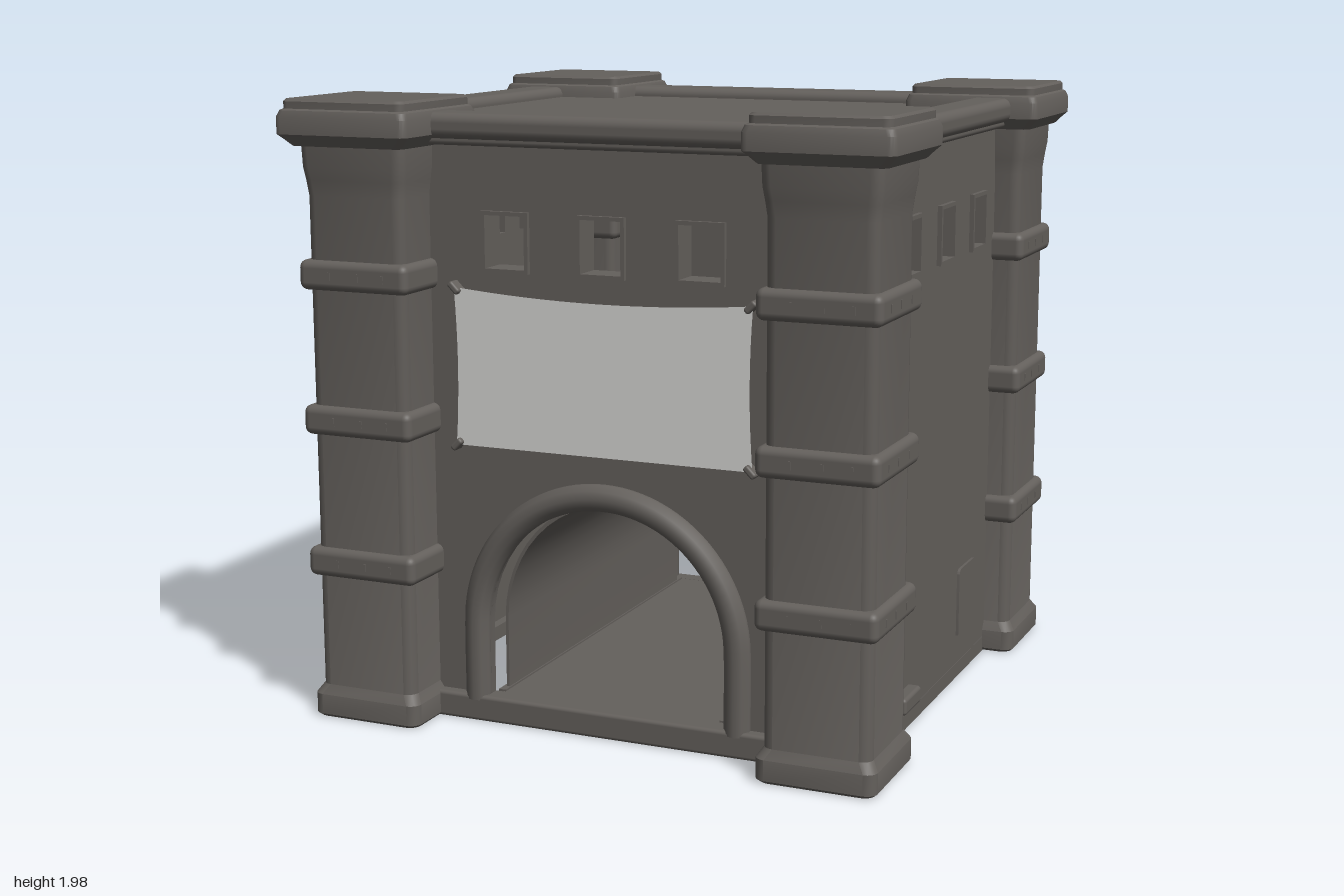
import * as THREE from 'three';
import { toCreasedNormals } from 'three/addons/utils/BufferGeometryUtils.js';
import { RoundedBoxGeometry } from 'three/addons/geometries/RoundedBoxGeometry.js';

const mat = (name, color, extra = {}) => {
  const m = new THREE.MeshStandardMaterial({ color, ...extra });
  m.name = name;
  return m;
};

export function createModel() {
  const stone = mat('stone', 0x64605c);
  const cloth = mat('cloth', 0xd8d8d5, { side: THREE.DoubleSide });

  const add = (parent, name, geo, x = 0, y = 0, z = 0, material = stone) => {
    const m = new THREE.Mesh(geo, material);
    m.name = name;
    m.position.set(x, y, z);
    parent.add(m);
    return m;
  };
  const box = (w, h, d) => new THREE.BoxGeometry(w, h, d);
  const rbox = (w, h, d, r) => new RoundedBoxGeometry(w, h, d, 3, r);

  // Rounded-square column lofted from [half width, height] pairs
  function column(profile, radius) {
    const seg = 4, n = 4 * (seg + 1), pos = [], idx = [];
    for (const [h, y] of profile) {
      const r = Math.min(radius, h);
      for (let c = 0; c < 4; c++) for (let s = 0; s <= seg; s++) {
        const mid = Math.PI / 4 + c * Math.PI / 2;
        const a = (c + s / seg) * Math.PI / 2;
        pos.push(Math.sign(Math.cos(mid)) * (h - r) + r * Math.cos(a), y,
          Math.sign(Math.sin(mid)) * (h - r) + r * Math.sin(a));
      }
    }
    for (let i = 0; i < profile.length - 1; i++) for (let j = 0; j < n; j++) {
      const a = i * n + j, b = i * n + (j + 1) % n;
      idx.push(a, a + n, b, b, a + n, b + n);
    }
    const g = new THREE.BufferGeometry();
    g.setAttribute('position', new THREE.Float32BufferAttribute(pos, 3));
    g.setIndex(idx);
    return toCreasedNormals(g, 0.6);
  }

  // Gate arch outline, from right foot over the crown to left foot
  function archPoints(hw, top, base, spring = 0.32, n = 24) {
    const pts = [new THREE.Vector2(hw, base)];
    for (let i = 0; i <= n; i++) {
      const a = i / n * Math.PI;
      pts.push(new THREE.Vector2(hw * Math.cos(a), spring + (top - spring) * Math.sin(a)));
    }
    pts.push(new THREE.Vector2(-hw, base));
    return pts;
  }
  const rect = (Type, x, y, w, h) => {
    const p = new Type();
    p.moveTo(x - w / 2, y - h / 2);
    p.lineTo(x + w / 2, y - h / 2);
    p.lineTo(x + w / 2, y + h / 2);
    p.lineTo(x - w / 2, y + h / 2);
    p.closePath();
    return p;
  };
  const extrude = (shape, depth) =>
    toCreasedNormals(new THREE.ExtrudeGeometry(shape, { depth, bevelEnabled: false }), 0.6);

  const WIN_Y = 1.545;
  // Thin wall with three deep-framed windows and optional arch; outer face at z = out
  function wall(parent, out, copingZ, gap, arch) {
    const s = rect(THREE.Shape, 0, 0.95, 1.4, 1.9);
    for (const i of [-1, 0, 1]) {
      s.holes.push(rect(THREE.Path, i * gap, WIN_Y, 0.135, 0.165));
      const f = rect(THREE.Shape, i * gap, WIN_Y, 0.16, 0.19);
      f.holes.push(rect(THREE.Path, i * gap, WIN_Y, 0.135, 0.165));
      add(parent, 'windowFrame', extrude(f, 0.1), 0, 0, out - 0.085);
    }
    if (arch) s.holes.push(new THREE.Path(archPoints(0.405, 0.735, 0.085)));
    add(parent, 'wall', extrude(s, 0.03), 0, 0, out - 0.03);
    add(parent, 'coping', rbox(1.2, 0.08, 0.15, 0.03), 0, 1.9, copingZ);
    add(parent, 'copingMolding', rbox(1.2, 0.04, 0.12, 0.015), 0, 1.86, copingZ - 0.01);
  }

  const model = new THREE.Group();
  model.name = 'gatehouse';

  // Front and back: gate arch, sill, banner
  const clothGeo = new THREE.PlaneGeometry(1, 0.5, 16, 8);
  const p = clothGeo.attributes.position;
  for (let i = 0; i < p.count; i++) {
    const u = p.getX(i) / 0.5, v = p.getY(i) / 0.25;
    p.setXY(i, p.getX(i) * (1 - 0.02 * (1 - v * v)),
      p.getY(i) - 0.025 * (1 - u * u) * (1 + v) / 2);
  }
  const trimPath = new THREE.CatmullRomCurve3(
    archPoints(0.447, 0.77, 0.07).map(q => new THREE.Vector3(q.x, q.y, 0)));

  for (const side of ['front', 'back']) {
    const g = new THREE.Group();
    g.name = side + 'Face';
    if (side === 'back') g.rotation.y = Math.PI;
    model.add(g);
    wall(g, 0.745, 0.745, 0.325, true);
    add(g, 'archTrim', new THREE.TubeGeometry(trimPath, 64, 0.044, 10), 0, 0, 0.745);
    add(g, 'sill', rbox(1.2, 0.085, 0.075, 0.012), 0, 0.0425, 0.745);
    add(g, 'banner', clothGeo, 0, 1.15, 0.768, cloth);
    for (const sx of [-1, 1]) for (const sy of [-1, 1]) {
      const peg = add(g, 'bannerPeg', rbox(0.045, 0.022, 0.05, 0.008),
        sx * 0.495, 1.15 + sy * 0.248, 0.76);
      peg.rotation.z = sx * sy * Math.PI / 4;
    }
  }

  // Side walls with hatches and a foot stone
  const hatch = new THREE.Shape();
  hatch.moveTo(-0.095, -0.115);
  hatch.lineTo(0.095, -0.115);
  hatch.lineTo(0.095, 0.09);
  hatch.quadraticCurveTo(0.095, 0.115, 0.07, 0.115);
  hatch.lineTo(-0.07, 0.115);
  hatch.quadraticCurveTo(-0.095, 0.115, -0.095, 0.09);
  hatch.closePath();
  for (const side of ['left', 'right']) {
    const g = new THREE.Group();
    g.name = side + 'Face';
    g.rotation.y = side === 'left' ? Math.PI / 2 : -Math.PI / 2;
    model.add(g);
    wall(g, 0.847, 0.835, 0.36, false);
    add(g, 'wallFoot', box(1.2, 0.05, 0.065), 0, 0.025, 0.816);
    for (const x of side === 'left' ? [0.325] : [0.325, -0.36])
      add(g, 'hatch', extrude(hatch, 0.009), x, 0.265, 0.847);
    add(g, 'footStone', rbox(0.16, 0.055, 0.06, 0.012), -0.36, 0.112, 0.857);
  }

  // Corner towers
  const shaft = column([[0.001, 0], [0.18, 0], [0.19, 0.01], [0.19, 0.075], [0.17, 0.105],
    [0.17, 1.68], [0.176, 1.73], [0.182, 1.77], [0.185, 1.85], [0.001, 1.85]], 0.035);
  const cap = column([[0.001, 1.835], [0.195, 1.835], [0.213, 1.855], [0.23, 1.872],
    [0.23, 1.925], [0.222, 1.945], [0.213, 1.95], [0.213, 1.972], [0.206, 1.98], [0.001, 1.98]], 0.025);
  const band = rbox(0.385, 0.095, 0.385, 0.025);
  const rivet = box(0.008, 0.025, 0.008);
  for (const sx of [-1, 1]) for (const sz of [-1, 1]) {
    const t = new THREE.Group();
    t.name = 'tower';
    t.position.set(sx * 0.762, 0, sz * 0.75);
    model.add(t);
    add(t, 'shaft', shaft);
    add(t, 'cap', cap, sx * 0.006, 0, sz * 0.002);
    for (const y of [0.515, 0.975, 1.435]) {
      add(t, 'band', band, 0, y, 0);
      for (const o of [-0.08, 0.02, 0.11]) {
        add(t, 'rivet', rivet, o, y, sz * 0.191);
        add(t, 'rivet', rivet, sx * 0.191, y, o);
      }
    }
  }

  // Roof deck
  add(model, 'roof', box(1.64, 0.03, 1.44), 0, 1.89, 0);

  // Passage: thin vault, floor and edge rails
  const vault = new THREE.Shape([
    ...archPoints(0.387, 0.737, 0.085), ...archPoints(0.377, 0.724, 0.085).reverse()]);
  add(model, 'vault', extrude(vault, 1.35), 0, 0, -0.675);
  add(model, 'floor', box(0.76, 0.015, 1.44), 0, 0.077, 0);
  for (const s of [-1, 1]) add(model, 'rail', box(0.025, 0.03, 1.42), s * 0.385, 0.075, 0);

  return model;
}
